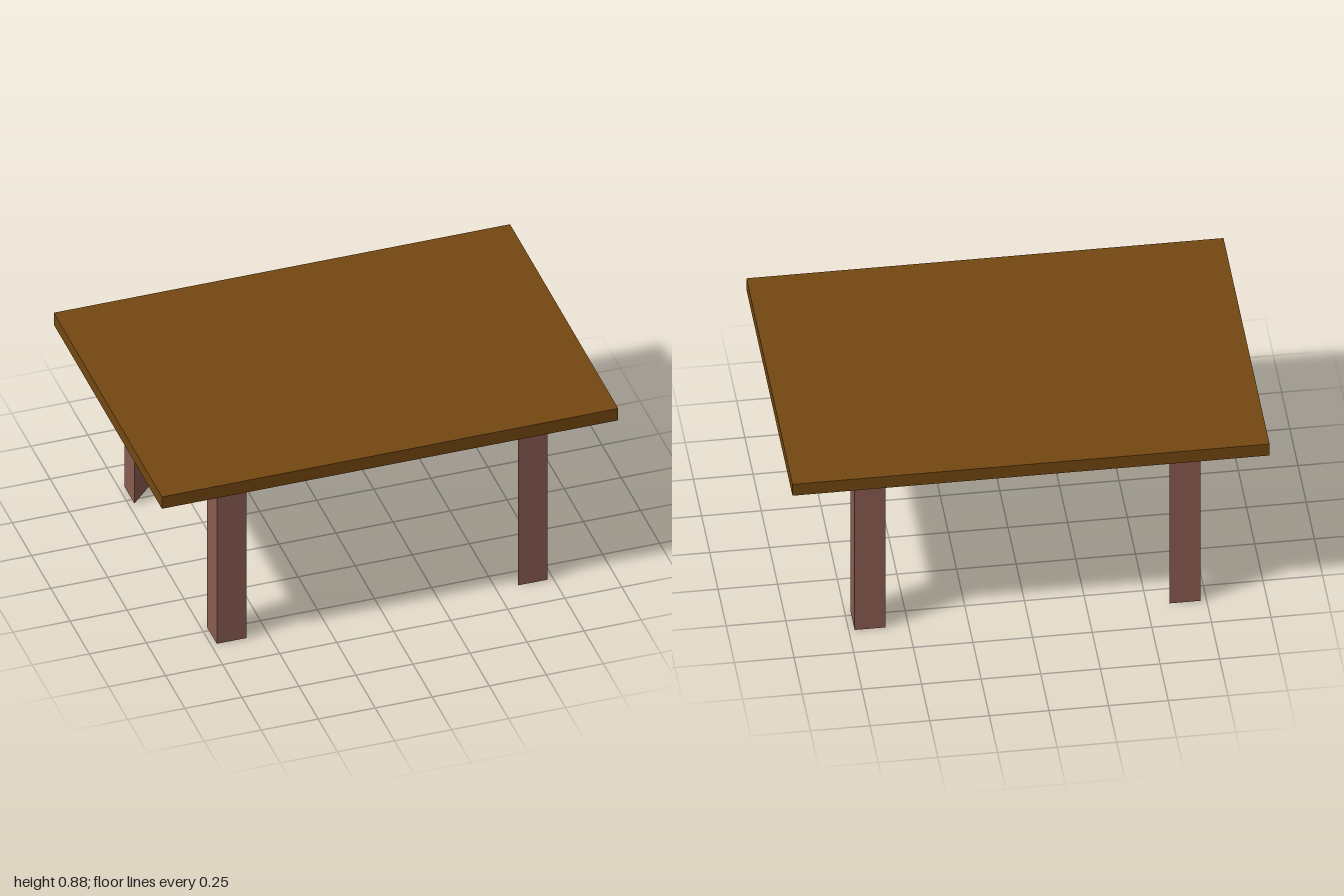
import * as THREE from 'three';

const LEG_HEIGHT = 0.815;
const TOP_THICKNESS = 0.06;

// Triangular leg: right angle at the outer corner, long face toward the centre
function createLeg(sx, sz, material) {
  const outerX = 0.725 * sx, innerX = 0.595 * sx;
  const outerZ = 0.6 * sz, innerZ = 0.47 * sz;
  const section = new THREE.Shape([
    new THREE.Vector2(outerX, -outerZ),
    new THREE.Vector2(innerX, -outerZ),
    new THREE.Vector2(outerX, -innerZ),
  ]);
  const geometry = new THREE.ExtrudeGeometry(section, { depth: LEG_HEIGHT, bevelEnabled: false });
  geometry.rotateX(-Math.PI / 2);
  const leg = new THREE.Mesh(geometry, material);
  leg.name = (sz > 0 ? 'front' : 'back') + (sx > 0 ? 'Left' : 'Right') + 'Leg';
  return leg;
}

export function createModel() {
  const table = new THREE.Group();
  table.name = 'table';
  const topMaterial = new THREE.MeshStandardMaterial({ color: 0x734711 });
  const legMaterial = new THREE.MeshStandardMaterial({ color: 0x8a5c50 });

  // Flat slab top
  const top = new THREE.Mesh(new THREE.BoxGeometry(2, TOP_THICKNESS, 1.405), topMaterial);
  top.name = 'tableTop';
  top.position.y = LEG_HEIGHT + TOP_THICKNESS / 2;
  table.add(top);

  // Four mirrored legs
  for (const sx of [-1, 1]) {
    for (const sz of [-1, 1]) table.add(createLeg(sx, sz, legMaterial));
  }
  return table;
}
